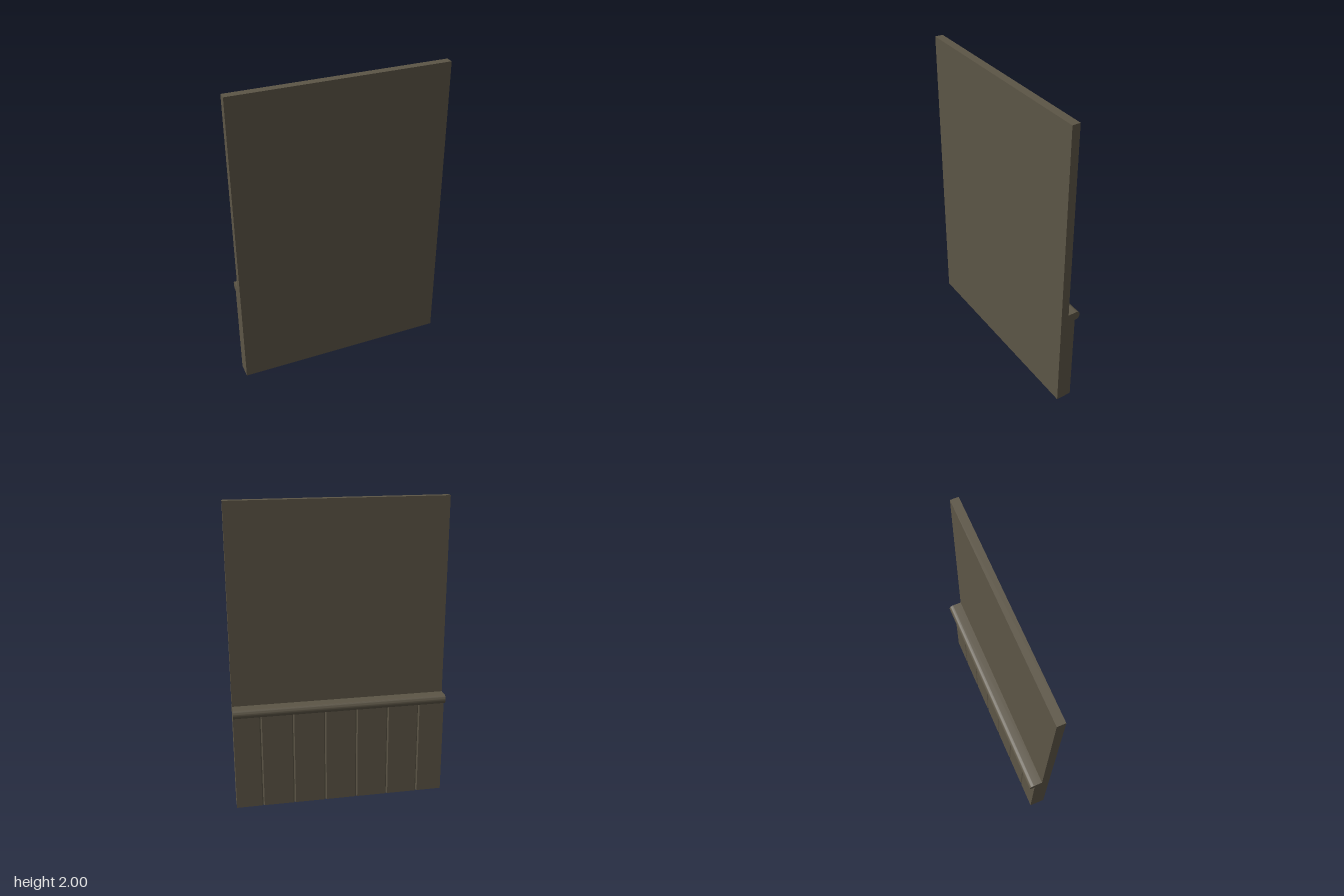
import * as THREE from 'three';
import { toCreasedNormals } from 'three/addons/utils/BufferGeometryUtils.js';

const WIDTH = 1.4, HEIGHT = 2;
const Z_FRONT = 0.069, Z_WALL = 0.017, Z_BOARD = -0.033;

export function createModel() {
  const group = new THREE.Group();
  group.name = 'wainscotWall';
  const material = new THREE.MeshStandardMaterial({ color: 0x5c5546 });

  const add = (name, geometry) => {
    const mesh = new THREE.Mesh(geometry, material);
    mesh.name = name;
    group.add(mesh);
    return mesh;
  };

  // Plain wall slab
  add('wallPanel', new THREE.BoxGeometry(WIDTH, HEIGHT, Z_FRONT - Z_WALL))
    .position.set(0, HEIGHT / 2, (Z_FRONT + Z_WALL) / 2);

  // Wainscot boards: plan outline with V grooves, raised to rail height
  const plan = new THREE.Shape();
  const half = WIDTH / 2, pitch = 0.21, grooveHalf = 0.008, grooveDepth = 0.01;
  plan.moveTo(-half, -Z_WALL);
  plan.lineTo(half, -Z_WALL);
  plan.lineTo(half, -Z_BOARD);
  for (let i = 5; i >= 0; i--) {
    const x = (i - 2.5) * pitch;
    plan.lineTo(x + grooveHalf, -Z_BOARD);
    plan.lineTo(x, -Z_BOARD - grooveDepth);
    plan.lineTo(x - grooveHalf, -Z_BOARD);
  }
  plan.lineTo(-half, -Z_BOARD);
  plan.closePath();
  const boards = new THREE.ExtrudeGeometry(plan, { depth: 0.642, bevelEnabled: false });
  boards.rotateX(-Math.PI / 2);
  add('wainscotBoards', boards);

  // Chair rail: flat top with a half-round nose, run along x
  const r = 0.03, top = 0.702;
  const profile = new THREE.Shape();
  profile.moveTo(-Z_WALL, top - 2 * r);
  profile.lineTo(0.039, top - 2 * r);
  profile.absarc(0.039, top - r, r, -Math.PI / 2, Math.PI / 2, false);
  profile.lineTo(-Z_WALL, top);
  profile.closePath();
  const rail = new THREE.ExtrudeGeometry(profile, { depth: WIDTH, bevelEnabled: false, curveSegments: 10 });
  rail.translate(0, 0, -WIDTH / 2);
  rail.rotateY(Math.PI / 2);
  add('chairRail', toCreasedNormals(rail, 0.6));

  return group;
}
